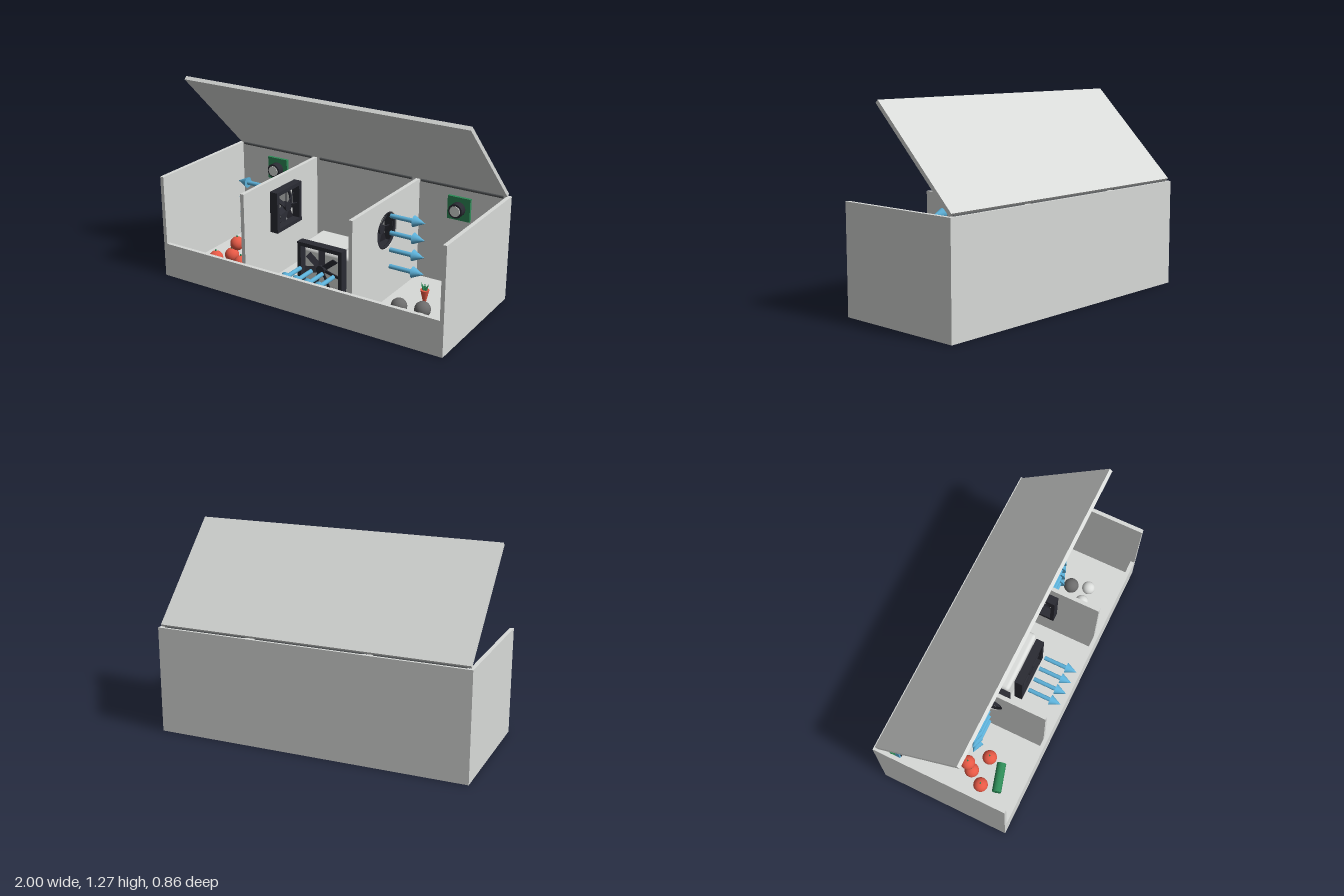
import * as THREE from 'three';
import { RoundedBoxGeometry } from 'three/addons/geometries/RoundedBoxGeometry.js';

const mat = (name, color) => {
  const m = new THREE.MeshStandardMaterial({ color });
  m.name = name;
  return m;
};

export function createModel() {
  const root = new THREE.Group();
  root.name = 'storageBox';
  const M = {
    panel: mat('panel grey', 0xd8dad8),
    white: mat('off white', 0xdcdedc),
    dark: mat('fan black', 0x2a2b33),
    hinge: mat('hinge grey', 0x55585a),
    green: mat('green', 0x2e8b57),
    blue: mat('airflow blue', 0x5cb0d8),
    red: mat('tomato red', 0xee5c48),
    stone: mat('dark produce grey', 0x6c6c6c),
  };

  const add = (name, geo, material, x, y, z, parent = root) => {
    const m = new THREE.Mesh(geo, material);
    m.name = name;
    m.position.set(x, y, z);
    parent.add(m);
    return m;
  };
  const box = (name, w, h, d, material, x, y, z, parent) =>
    add(name, new THREE.BoxGeometry(w, h, d), material, x, y, z, parent);
  const ball = (name, r, material, x, y, z, parent) =>
    add(name, new THREE.SphereGeometry(r, 24, 16), material, x, y, z, parent);

  // Case: floor, back, low front and two sides
  const T = 0.025, H = 0.68, D = 0.86;
  box('floor', 1.95, 0.02, 0.81, M.panel, 0, 0.01, 0);
  box('backWall', 1.95, H, T, M.panel, 0, H / 2, -D / 2 + T / 2);
  box('frontWall', 1.95, 0.225, T, M.panel, 0, 0.1125, D / 2 - T / 2);
  for (const s of [-1, 1]) box('sideWall', T, H, D, M.panel, s * (1 - T / 2), H / 2, 0);

  // Dividers with a round fan opening
  const fanY = 0.475;
  for (const s of [-1, 1]) {
    const shape = new THREE.Shape([
      new THREE.Vector2(-0.405, 0.02), new THREE.Vector2(0.405, 0.02),
      new THREE.Vector2(0.405, H), new THREE.Vector2(-0.405, H),
    ]);
    shape.holes.push(new THREE.Path().absarc(0, fanY, 0.118, 0, Math.PI * 2, true));
    const geo = new THREE.ExtrudeGeometry(shape, { depth: T, bevelEnabled: false, curveSegments: 24 });
    geo.translate(0, 0, -T / 2);
    add('divider', geo, M.panel, s * 0.382, 0, 0).rotation.y = -Math.PI / 2;
  }

  // Open lid and its hinge barrels
  box('lid', 1.97, T, 0.805, M.panel, 0, 0.974, -0.127).rotation.x = -Math.PI / 4;
  for (const [x, len] of [[-0.685, 0.55], [0, 0.685], [0.685, 0.55]]) {
    add('hinge', new THREE.CylinderGeometry(0.011, 0.011, len, 12), M.hinge, x, 0.678, -0.403)
      .rotation.z = Math.PI / 2;
  }

  // Square fan facing +z
  const fan = (name, size, depth, x, y, z) => {
    const g = new THREE.Group();
    g.name = name;
    g.position.set(x, y, z);
    const h = size / 2, k = h - 0.025;
    const square = (r) => [[-r, -r], [r, -r], [r, r], [-r, r]].map((p) => new THREE.Vector2(...p));
    const frame = new THREE.Shape(square(h));
    frame.holes.push(new THREE.Path(square(k).reverse()));
    const geo = new THREE.ExtrudeGeometry(frame, { depth, bevelEnabled: false });
    geo.translate(0, 0, -depth / 2);
    add('fanFrame', geo, M.dark, 0, 0, 0, g);
    add('fanHub', new THREE.CylinderGeometry(0.03, 0.03, depth * 0.7, 20), M.dark, 0, 0, 0, g)
      .rotation.x = Math.PI / 2;
    const n = 7;
    for (let i = 0; i < n; i++) {
      const arm = new THREE.Group();
      arm.name = 'fanBlade';
      arm.rotation.z = (i / n) * Math.PI * 2 + Math.PI / 2;
      g.add(arm);
      box('blade', k - 0.03, 0.04, 0.006, M.dark, 0.02 + (k - 0.03) / 2, 0, 0, arm).rotation.x = 0.6;
    }
    root.add(g);
    return g;
  };
  for (const s of [-1, 1]) {
    fan('dividerFan', 0.27, 0.055, s * 0.342, fanY, 0).rotation.y = -s * Math.PI / 2;
    // Ring lining the opening
    add('fanRing', new THREE.TorusGeometry(0.11, 0.009, 8, 32), M.dark, s * 0.382, fanY, 0)
      .rotation.y = Math.PI / 2;
  }
  fan('frontFan', 0.325, 0.055, 0, 0.165, 0.115);

  // Cooling unit behind the front fan
  add('coolingUnit', new RoundedBoxGeometry(0.43, 0.245, 0.3, 3, 0.025), M.white, 0, 0.1425, -0.08);
  box('coolingUnitCap', 0.205, 0.03, 0.15, M.white, 0, 0.265, -0.08);

  // Airflow arrows, built along +y then turned
  const arrow = (x, y, z, rx, rz) => {
    const g = new THREE.Group();
    g.name = 'airflowArrow';
    g.position.set(x, y, z);
    g.rotation.set(rx, 0, rz);
    add('arrowShaft', new THREE.CylinderGeometry(0.014, 0.014, 0.155, 16), M.blue, 0, 0.0775, 0, g);
    add('arrowHead', new THREE.ConeGeometry(0.035, 0.075, 20), M.blue, 0, 0.1925, 0, g);
    root.add(g);
  };
  for (let i = 0; i < 4; i++) {
    for (const s of [-1, 1]) arrow(s * 0.445, 0.6 - i * 0.109, 0.05, 0, -s * Math.PI / 2);
    arrow(-0.123 + i * 0.081, 0.165, 0.172, Math.PI / 2, 0);
  }

  // Sensor boards on the back wall
  for (const s of [-1, 1]) {
    const x = s * 0.677;
    box('cameraBoard', 0.152, 0.15, 0.02, M.green, x, 0.545, -0.395);
    add('cameraBarrel', new THREE.CylinderGeometry(0.046, 0.046, 0.05, 28), M.dark, x, 0.545, -0.36)
      .rotation.x = Math.PI / 2;
    add('cameraLens', new THREE.CylinderGeometry(0.034, 0.034, 0.008, 28), M.white, x, 0.545, -0.333)
      .rotation.x = Math.PI / 2;

    const kx = s * 0.842;
    box('climateBoard', 0.146, 0.15, 0.02, M.green, kx, 0.26, -0.395);
    box('climateSensor', 0.108, 0.11, 0.03, M.blue, kx, 0.258, -0.372);
    for (let r = 0; r < 3; r++) for (let c = 0; c < 3; c++) {
      box('sensorSlot', 0.019, 0.024, 0.006, M.dark, kx + (c - 1) * 0.032, 0.286 - r * 0.036, -0.356);
    }
  }

  // Produce on the model's right: tomatoes and a cucumber
  for (const [x, y, z] of [[-0.8, 0.067, 0.158], [-0.74, 0.067, 0.065], [-0.615, 0.067, 0.132], [-0.72, 0.14, 0.03]]) {
    ball('tomato', 0.047, M.red, x, y, z);
    add('tomatoStem', new THREE.CylinderGeometry(0.004, 0.006, 0.016, 6), M.green, x, y + 0.05, z);
  }
  const cucumber = add('cucumber', new THREE.CylinderGeometry(0.03, 0.03, 0.19, 20), M.green, -0.705, 0.05, 0.243);
  cucumber.rotation.set(0, 0.28, Math.PI / 2);

  // Produce on the model's left: pale and dark rounds and a root vegetable
  for (const x of [0.63, 0.74]) ball('paleRound', 0.044, M.white, x, 0.064, 0.212);
  for (const [x, z] of [[0.56, 0.135], [0.7, 0.1]]) ball('darkRound', 0.05, M.stone, x, 0.075, z);
  add('rootVegetable', new THREE.ConeGeometry(0.028, 0.12, 16), M.red, 0.65, 0.08, -0.02).rotation.x = Math.PI;
  for (let i = 0; i < 3; i++) {
    const leaf = add('leaf', new THREE.ConeGeometry(0.012, 0.05, 8), M.green, 0.65 + (i - 1) * 0.015, 0.16, -0.02);
    leaf.rotation.z = -(i - 1) * 0.45;
  }
  return root;
}
